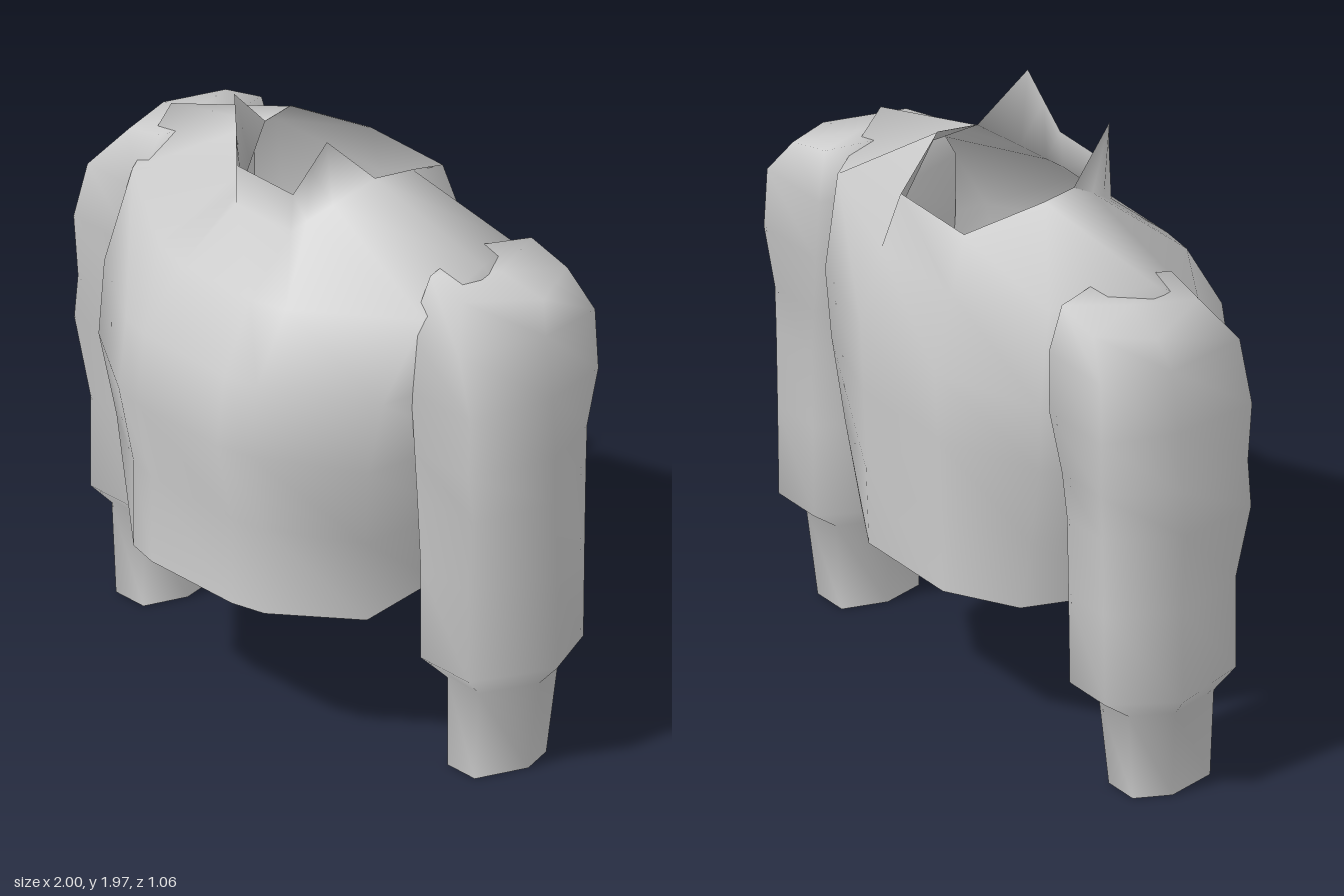
import * as THREE from 'three';

// Skin a stack of equal-length rings (top to bottom, counter-clockwise from above)
function loft(rings, material, name, capTop = false) {
  const n = rings[0].length;
  const pos = rings.flat(2);
  const index = [];
  for (let i = 0; i < rings.length - 1; i++) {
    for (let j = 0; j < n; j++) {
      const k = (j + 1) % n;
      const a = i * n + j, b = i * n + k, c = a + n, d = b + n;
      index.push(a, c, d, a, d, b);
    }
  }
  if (capTop) {
    const centre = [0, 1, 2].map(c => rings[0].reduce((s, p) => s + p[c], 0) / n);
    pos.push(...centre);
    for (let j = 0; j < n; j++) index.push(rings.length * n, j, (j + 1) % n);
  }
  const g = new THREE.BufferGeometry();
  g.setAttribute('position', new THREE.Float32BufferAttribute(pos, 3));
  g.setIndex(index);
  g.computeVertexNormals();
  const mesh = new THREE.Mesh(g, material);
  mesh.name = name;
  return mesh;
}

const mirror = ring => ring.map(([x, y, z]) => [-x, y, z]).reverse();
const whole = half => [...half, ...mirror(half)];

// Level half ring of the body: fixed front and back panel, given side points
const bodyRing = (y, zFront, zBack, [xFront, zSide], xSide, xBack) => [
  [.19, y, zFront], [.31, y, zFront - .03], [xFront, y, zSide],
  [xSide, y, -.08], [xBack, y, zBack + .13], [.2, y, zBack],
];

// Six-sided sleeve ring; slope drops the outer side below the inner one
function sleeveRing([y, zFront, zBack, frontIn, frontOut, out, backOut, backIn, inner], slope) {
  const zMid = (zFront + zBack) / 2;
  return [
    [frontIn, zFront], [frontOut, zFront], [out, zMid - .03],
    [backOut, zBack], [backIn, zBack], [inner, zMid],
  ].map(([x, z]) => [x, y - slope * (x - .64), z]);
}

export function createModel() {
  const group = new THREE.Group();
  group.name = 'jacket';
  const cloth = new THREE.MeshStandardMaterial({ color: 0xcccccc, side: THREE.DoubleSide });
  cloth.name = 'greyCloth';

  // Pointed collar and shoulders: half rings from the front, round the left side, to the back
  const collar = [
    [[.13, 1.775, .17], [.175, 1.872, .14], [.22, 1.97, .11], [.26, 1.81, -.05], [.29, 1.81, -.18], [.17, 1.71, -.4]],
    [[.13, 1.65, .18], [.155, 1.68, .135], [.195, 1.73, .065], [.262, 1.807, -.05], [.292, 1.807, -.18], [.172, 1.705, -.402]],
  ];
  const shoulders = [[.16, 1.49, .37], [.3, 1.5, .345], [.69, 1.54, .12], [.74, 1.68, -.08], [.57, 1.6, -.36], [.19, 1.53, -.46]];

  // Body, open at neck and hem
  const body = [
    ...collar,
    shoulders,
    bodyRing(1.28, .5, -.53, [.66, .26], .68, .58),
    bodyRing(1.05, .53, -.52, [.64, .3], .66, .56),
    bodyRing(.78, .47, -.51, [.59, .27], .59, .5),
    bodyRing(.49, .47, -.5, [.55, .23], .52, .43),
  ];
  for (const p of body[6].slice(3)) p[1] += .03; // hem rises at the back
  group.add(loft(body.map(whole), cloth, 'body'));

  // Sleeves: height, front z, back z, then x of the six corners
  const sleeve = [
    [1.65, .05, -.36, .64, .79, .9, .81, .64, .58],
    [1.49, .14, -.395, .65, .88, .945, .9, .62, .56],
    [1.29, .145, -.4, .66, .94, .98, .91, .63, .57],
    [1.09, .14, -.38, .67, .925, 1, .88, .67, .58],
    [.94, .138, -.375, .68, .945, 1, .88, .69, .58],
    [.68, .115, -.37, .67, .895, 1, .88, .69, .58],
    [.37, .115, -.365, .67, .895, 1, .88, .69, .58],
    [.3, .05, -.27, .72, .87, .935, .87, .71, .65],
    [0, .05, -.24, .72, .85, .9, .85, .72, .68],
  ].map((row, i) => sleeveRing(row, i === 0 ? .23 : 0));
  group.add(loft(sleeve, cloth, 'leftSleeve', true));
  group.add(loft(sleeve.map(mirror), cloth, 'rightSleeve', true));
  return group;
}
